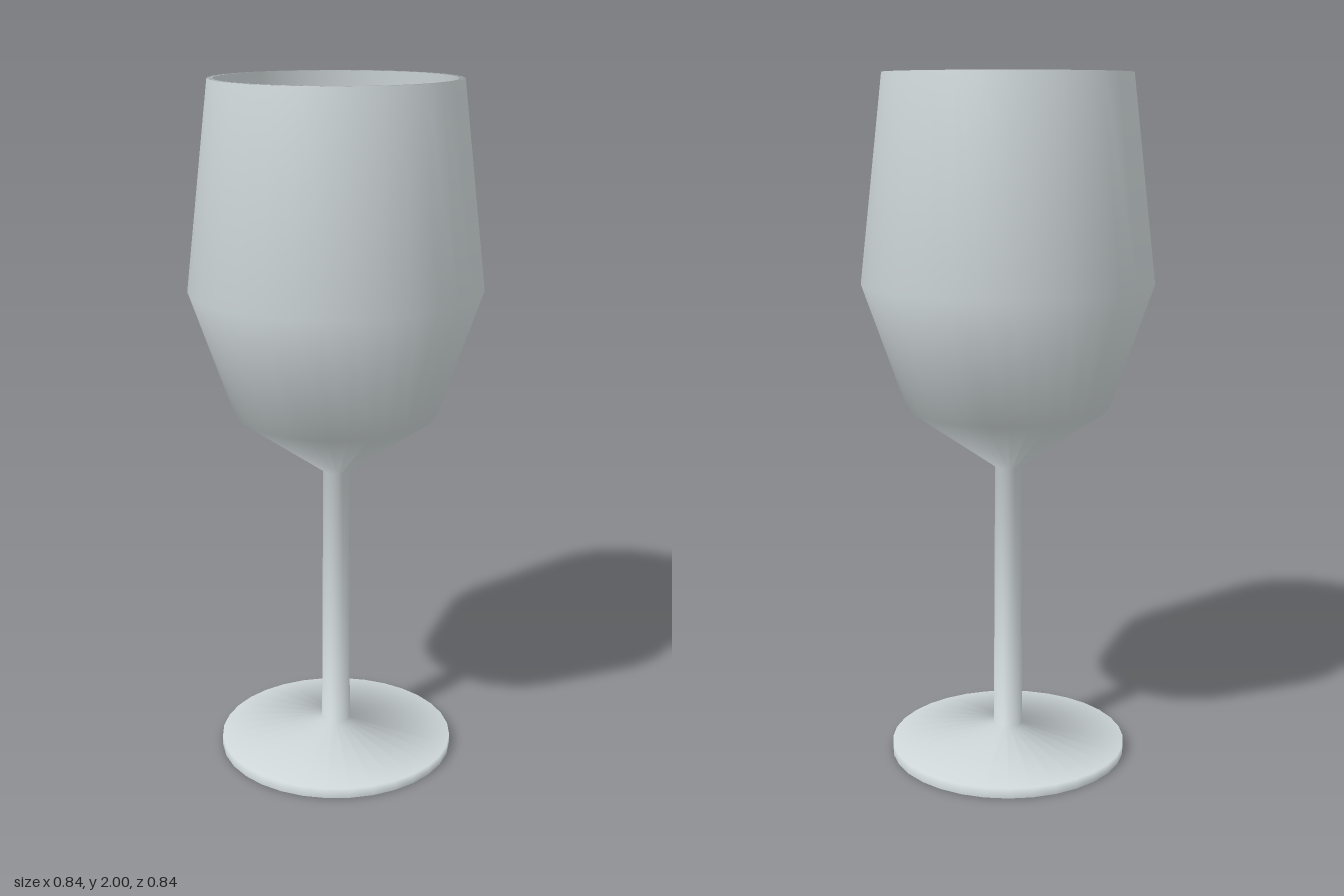
import * as THREE from 'three';

const SEGMENTS = 32;

// Outside from the foot edge up to the rim, then down the inside (radius, height).
const PROFILE = [
  [0.35, 0], [0.35, 0.03], [0.043, 0.08], [0.038, 0.88], [0.293, 1.06],
  [0.418, 1.42], [0.35, 2], [0.335, 2], [0.403, 1.42], [0.28, 1.07], [0, 0.9],
];

const points = (list) => list.map(([r, y]) => new THREE.Vector2(r, y));

// Keeps only the bands between two profile points, so that the parts
// share smooth normals where they meet.
function profilePart(lathe, from, to) {
  const geometry = lathe.clone();
  const source = lathe.index.array;
  const bands = PROFILE.length - 1;
  const index = [];
  for (let i = 0; i < SEGMENTS; i++) {
    for (let j = from; j < to; j++) {
      const start = (i * bands + j) * 6;
      for (let k = 0; k < 6; k++) index.push(source[start + k]);
    }
  }
  geometry.setIndex(index);
  return geometry;
}

export function createModel() {
  const model = new THREE.Group();
  model.name = 'wineGlass';

  const glass = new THREE.MeshStandardMaterial({ color: 0xcfd7d9 });
  glass.name = 'glass';
  const wine = new THREE.MeshStandardMaterial({ color: 0x7b2230 });
  wine.name = 'redWine';

  const add = (name, geometry, material) => {
    const mesh = new THREE.Mesh(geometry, material);
    mesh.name = name;
    model.add(mesh);
    return mesh;
  };

  // Glass: foot, stem and hollow bowl
  const lathe = new THREE.LatheGeometry(points(PROFILE), SEGMENTS);
  add('foot', profilePart(lathe, 0, 2), glass);
  add('stem', profilePart(lathe, 2, 3), glass);
  add('bowl', profilePart(lathe, 3, PROFILE.length - 1), glass);

  // Flat underside with a sharp edge
  add('footUnderside', new THREE.LatheGeometry(points([[0, 0], [0.35, 0]]), SEGMENTS), glass);

  // Wine filling the lower bowl, with a level surface
  const level = 1.42;
  const body = points([[0, 0.91], [0.275, 1.08], [0.4, level]]);
  add('wineBody', new THREE.LatheGeometry(body, SEGMENTS), wine);
  add('wineSurface', new THREE.LatheGeometry(points([[0.4, level], [0, level]]), SEGMENTS), wine);

  return model;
}
